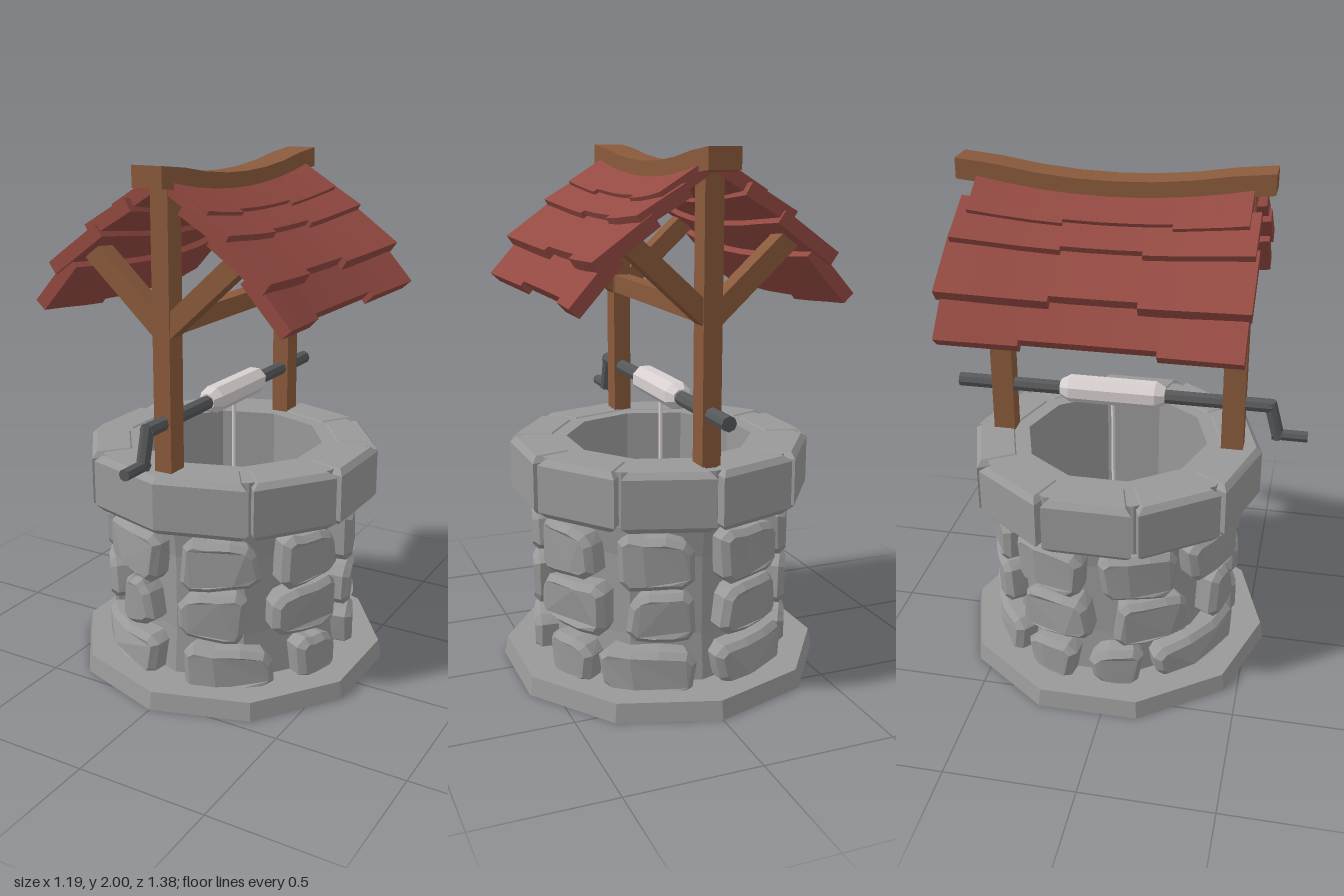
import * as THREE from 'three';

const AXIS_Z = -0.055; // centre of the masonry ring
const mat = (color) => new THREE.MeshStandardMaterial({ color, flatShading: true });
const V = (x, y, z) => new THREE.Vector3(x, y, z);

export function createModel() {
  const model = new THREE.Group();
  model.name = 'well';
  const stone = mat(0x999999), wood = mat(0x8a5a3c), tile = mat(0x944a42);
  const metal = mat(0x56585a), pale = mat(0xd8d0d0);

  const add = (name, geometry, material, parent = model) => {
    const mesh = new THREE.Mesh(geometry, material);
    mesh.name = name;
    parent.add(mesh);
    return mesh;
  };
  const group = (name, z = 0) => {
    const g = new THREE.Group();
    g.name = name;
    g.position.z = z;
    model.add(g);
    return g;
  };
  // Move every vertex by a rule
  const warp = (geometry, rule) => {
    const p = geometry.attributes.position;
    for (let i = 0; i < p.count; i++) {
      const v = rule(p.getX(i), p.getY(i), p.getZ(i));
      p.setXYZ(i, v.x, v.y, v.z);
    }
    geometry.computeVertexNormals();
    return geometry;
  };
  const box = (name, w, h, d, x, y, z, material = wood) => {
    const m = add(name, new THREE.BoxGeometry(w, h, d), material);
    m.position.set(x, y, z);
    return m;
  };
  // Straight round bar between two points
  const rod = (name, a, b, r, material = metal) => {
    const m = add(name, new THREE.CylinderGeometry(r, r, a.distanceTo(b), 8), material);
    m.position.copy(a).lerp(b, 0.5);
    m.quaternion.setFromUnitVectors(V(0, 1, 0), b.clone().sub(a).normalize());
    return m;
  };

  // Ten-sided base slab and hollow wall
  const masonry = group('masonry', AXIS_Z);
  add('baseSlab', new THREE.CylinderGeometry(0.612, 0.625, 0.07, 10), stone, masonry).position.y = 0.035;
  const profile = [[0.44, 0.06], [0.425, 0.25], [0.425, 0.55], [0.44, 0.66], [0.46, 0.695], [0.535, 0.7],
    [0.535, 0.905], [0.36, 0.905], [0.36, 0.08], [0, 0.08]].map(([r, y]) => new THREE.Vector2(r, y));
  add('wall', new THREE.LatheGeometry(profile, 10), stone, masonry);

  // Bevelled rim stones; the front pair is joined into one
  const rimStone = (first, count) => {
    const gap = 0.035, bevel = 0.022, outer = [], inner = [];
    for (let i = 0; i <= count; i++) {
      let a = (first + i) * Math.PI / 5;
      if (i === 0) a += gap + 0.02;
      if (i === count) a -= gap + 0.02;
      const r = 0.575 - bevel;
      outer.push(new THREE.Vector2(r * Math.sin(a), -r * Math.cos(a)));
      inner.unshift(new THREE.Vector2(0.42 * Math.sin(a), -0.42 * Math.cos(a)));
    }
    const g = new THREE.ExtrudeGeometry(new THREE.Shape([...outer, ...inner]), {
      depth: 0.22 - 2 * bevel, bevelEnabled: true, bevelSize: bevel, bevelThickness: bevel, bevelSegments: 1,
    });
    g.rotateX(-Math.PI / 2).translate(0, 0.69 + bevel, 0);
    add('rimStone', g, stone, masonry);
  };
  rimStone(-1, 2);
  for (let i = 1; i < 9; i++) rimStone(i, 1);

  // Wall stones: bevelled uneven slabs bent round the wall (angles in degrees)
  const wallStone = (a0, a1, y0, y1, seed) => {
    const R = 0.44, b = 0.022;
    const s0 = a0 * Math.PI / 180 * R + b, s1 = a1 * Math.PI / 180 * R - b;
    const lo = y0 + b, hi = y1 - b, c = 0.02;
    const j = (k) => 0.016 * Math.sin(seed * 12.9 + k * 4.7);
    const at = (t) => s0 + (s1 - s0) * t;
    const shape = new THREE.Shape([
      [s0 + c, lo + j(1)], [at(0.35), lo + j(1) * 0.6], [at(0.7), lo + j(2) * 0.6], [s1 - c, lo + j(2)],
      [s1 + j(3) * 0.5, lo + c + j(2)], [s1 + j(4), hi - c + j(5)],
      [s1 - c + j(4), hi + j(5) * 0.7], [at(0.65), hi + 0.005], [at(0.3), hi + 0.003],
      [s0 + c + j(6), hi + j(7) * 0.7], [s0 + j(6), hi - c + j(7)], [s0, lo + c + j(1)],
    ].map(([x, y]) => new THREE.Vector2(x, y)));
    const g = new THREE.ExtrudeGeometry(shape, {
      depth: 0.075, bevelEnabled: true, bevelSize: b, bevelThickness: b, bevelSegments: 1,
    });
    warp(g, (x, y, z) => V((0.405 + z) * Math.sin(x / R), y, (0.405 + z) * Math.cos(x / R)));
    add('wallStone', g, stone, masonry);
  };
  const courses = [
    { y: [0.05, 0.21], spans: [[8, 48], [62, 84], [103, 126], [133, 173], [186, 228], [237, 260], [270, 292], [300, 353]] },
    { y: [0.245, 0.435], spans: [[5, 36], [48, 85], [94, 135], [144, 175], [186, 222], [232, 270], [280, 318], [330, 351]] },
    { y: [0.46, 0.645], spans: [[6, 42], [52, 84], [96, 128], [141, 173], [187, 220], [231, 264], [275, 308], [318, 354]] },
  ];
  courses.forEach(({ y, spans }, row) =>
    spans.forEach(([a, b], i) => wallStone(a, b, y[0], y[1], row * 8 + i + 1)));

  // Timber frame: posts, diagonal braces and tie beam
  for (const z of [0.405, -0.507]) {
    box('post', 0.07, 1.05, 0.085, 0, 1.415, z);
    for (const s of [1, -1]) {
      const brace = box('brace', 0.4, 0.072, 0.075, s * 0.145, 1.555, z);
      brace.rotation.z = s * 0.74;
    }
  }
  box('tieBeam', 0.066, 0.07, 0.9, 0, 1.445, -0.05);

  // Sag of the roof along its length: 0 at the ends, 1 in the middle
  const sag = (z) => 1 - Math.min(1, ((z - AXIS_Z) / 0.5) ** 2);
  add('ridgeBeam', warp(new THREE.BoxGeometry(0.12, 0.075, 1.145, 1, 1, 8),
    (x, y, z) => V(x, y + 1.9625 - 0.055 * sag(z + AXIS_Z), z + AXIS_Z)), wood);

  // Overlapping shingle rows: upper edge, lower edge, end positions and joints
  const rows = [
    { from: [0.02, 1.965], to: [0.196, 1.857], ends: [-0.55, 0.445], joints: [-0.21, 0.18] },
    { from: [0.12, 1.885], to: [0.29, 1.785], ends: [-0.588, 0.478], joints: [-0.2, 0.09] },
    { from: [0.24, 1.79], to: [0.448, 1.642], ends: [-0.6, 0.488], joints: [-0.21, 0.1] },
    { from: [0.37, 1.665], to: [0.522, 1.496], ends: [-0.585, 0.478], joints: [-0.3, 0.18] },
  ];
  const roof = group('roof');
  for (const side of [1, -1]) {
    rows.forEach(({ from, to, ends, joints }) => {
      const dx = to[0] - from[0], dy = to[1] - from[1], len = Math.hypot(dx, dy);
      const cuts = [ends[0], ...joints, ends[1]];
      for (let i = 0; i < 3; i++) {
        const z0 = cuts[i], z1 = cuts[i + 1], reach = i === 1 ? 0.9 : 1;
        const g = warp(new THREE.BoxGeometry(1, 1, 1, 1, 1, 3), (px, py, pz) => {
          const u = (0.5 + side * px) * reach, drop = (0.5 - py) * 0.05;
          const z = z0 + (z1 - z0) * (pz + 0.5), k = sag(z);
          const x = from[0] + dx * u + dy / len * drop;
          const y = from[1] + dy * u - dx / len * drop;
          return V(side * x * (1 - 0.11 * k), y - k * (0.05 - 0.05 * x), z);
        });
        add('shingle', g, tile, roof);
      }
    });
  }

  // Windlass: axle, crank, drum and rope
  rod('axle', V(0, 1.095, -0.69), V(0, 1.095, 0.55), 0.028);
  rod('crankArm', V(0, 1.11, 0.54), V(0, 0.96, 0.58), 0.025);
  rod('crankHandle', V(0, 0.975, 0.555), V(0, 0.975, 0.69), 0.022);
  const drumProfile = [[0, -0.207], [0.033, -0.207], [0.054, -0.17], [0.054, 0.17], [0.033, 0.207], [0, 0.207]]
    .map(([r, y]) => new THREE.Vector2(r, y));
  const drum = add('drum', new THREE.LatheGeometry(drumProfile, 8, Math.PI / 8).rotateX(Math.PI / 2), pale);
  drum.position.set(0, 1.097, -0.07);
  rod('rope', V(0, 0.1, -0.07), V(0, 1.06, -0.07), 0.008, pale);

  return model;
}
